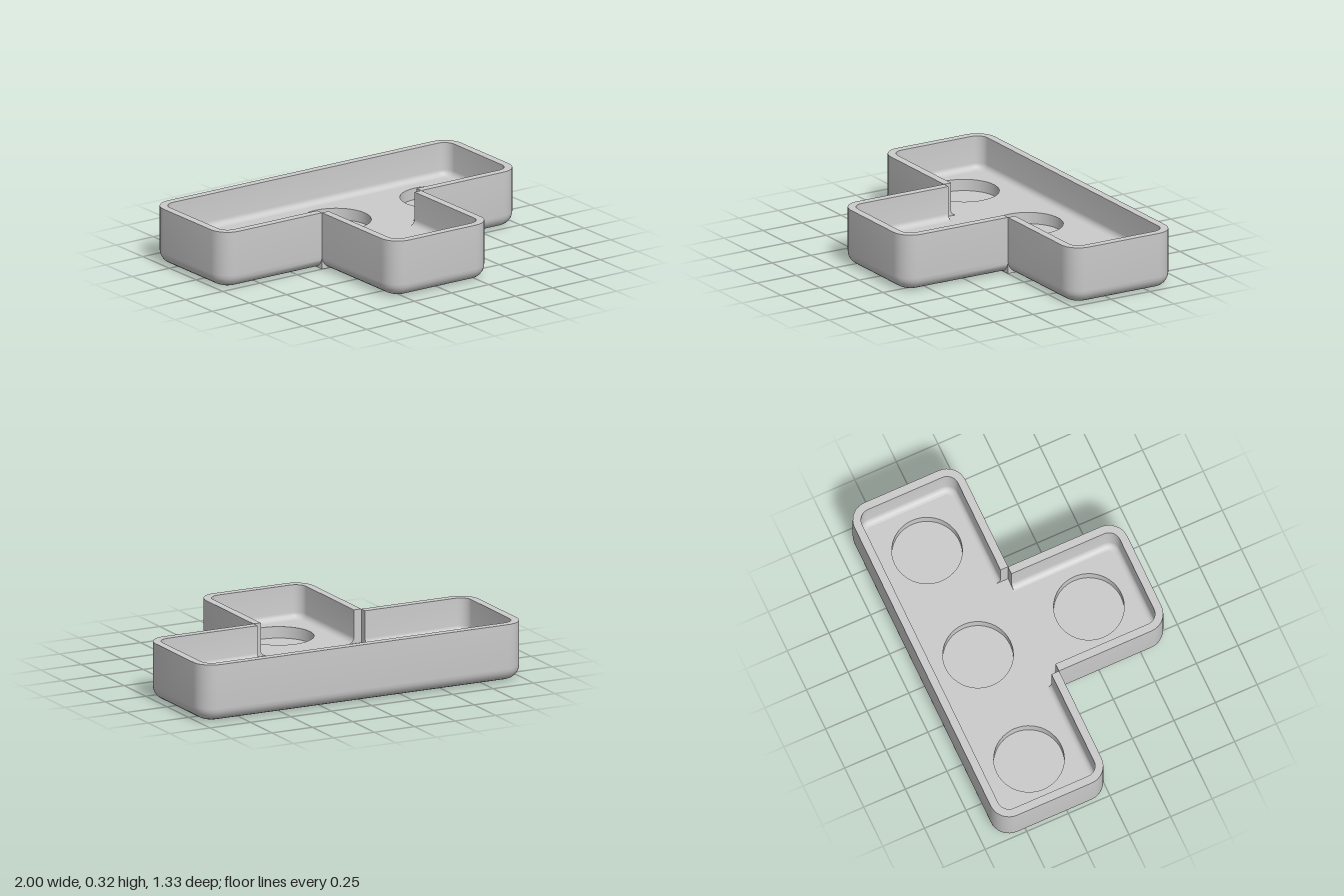
import * as THREE from 'three';
import { toCreasedNormals } from 'three/addons/utils/BufferGeometryUtils.js';

const CELL = 2 / 3, HALF = CELL / 2, HEIGHT = 0.325, WALL = 0.045;
const CORNER = 0.11, OUTER_FILLET = 0.075, INNER_FILLET = 0.035;
const FLOOR = 0.135, POCKET_FLOOR = 0.07, POCKET_R = 0.193;

// T-shaped outline as [x, z] points, moved inwards by d; inside corners keep a square notch
function outline(d) {
  const half = [];
  const arc = (cx, cz, start) => {
    for (let i = 0; i <= 8; i++) {
      const a = start + (i / 8) * Math.PI / 2;
      half.push([cx + (CORNER - d) * Math.cos(a), cz + (CORNER - d) * Math.sin(a)]);
    }
  };
  arc(1 - CORNER, -CELL + CORNER, -Math.PI / 2);
  arc(1 - CORNER, -CORNER, 0);
  half.push([HALF, -d], [HALF, 0], [HALF - d, 0]);
  arc(HALF - CORNER, CELL - CORNER, 0);
  return [...half, ...half.map(([x, z]) => [-x, z]).reverse()];
}

// Skin between outlines; profile holds [inset, height] pairs
function loft(profile) {
  const rings = profile.map(([d, y]) => outline(d).map(([x, z]) => new THREE.Vector3(x, y, z)));
  const positions = [];
  const addTriangle = (a, b, c) => {
    if (new THREE.Triangle(a, b, c).getArea() < 1e-9) return;
    for (const p of [a, b, c]) positions.push(p.x, p.y, p.z);
  };
  for (let i = 0; i < rings.length - 1; i++) {
    const low = rings[i], high = rings[i + 1];
    for (let j = 0; j < low.length; j++) {
      const k = (j + 1) % low.length;
      addTriangle(low[j], high[j], low[k]);
      addTriangle(low[k], high[j], high[k]);
    }
  }
  const geometry = new THREE.BufferGeometry();
  geometry.setAttribute('position', new THREE.Float32BufferAttribute(positions, 3));
  return toCreasedNormals(geometry, 0.6);
}

// Quarter-round from the flat face (t = 0) to the upright wall (t = 1)
function fillet(inset, base, r) {
  return Array.from({ length: 7 }, (_, i) => {
    const a = (i / 6) * Math.PI / 2;
    return [inset + r * (1 - Math.sin(a)), base + r * (1 - Math.cos(a))];
  });
}

export function createModel() {
  const tray = new THREE.Group();
  tray.name = 'tray';
  const material = new THREE.MeshStandardMaterial({ color: 0xcccccc, side: THREE.DoubleSide });
  const add = (name, geometry) => {
    const mesh = new THREE.Mesh(geometry, material);
    mesh.name = name;
    tray.add(mesh);
    return mesh;
  };

  // Walls
  add('outerWall', loft([...fillet(0, 0, OUTER_FILLET), [0, HEIGHT]]));
  add('rim', loft([[0, HEIGHT], [WALL, HEIGHT]]));
  add('innerWall', loft([[WALL, HEIGHT], ...fillet(WALL, FLOOR, INNER_FILLET).reverse()]));

  // Underside
  const underside = new THREE.Shape(outline(OUTER_FILLET).map(([x, z]) => new THREE.Vector2(x, z)));
  add('underside', new THREE.ShapeGeometry(underside).rotateX(Math.PI / 2));

  // Floor with four round openings
  const centres = [[-CELL, -HALF], [0, -HALF], [CELL, -HALF], [0, HALF]];
  const floor = new THREE.Shape(
    outline(WALL + INNER_FILLET).map(([x, z]) => new THREE.Vector2(x, -z)));
  for (const [x, z] of centres) {
    floor.holes.push(new THREE.Path().absarc(x, -z, POCKET_R, 0, Math.PI * 2, true));
  }
  add('floor', new THREE.ShapeGeometry(floor, 24).rotateX(-Math.PI / 2).translate(0, FLOOR, 0));

  // Shallow round pockets
  const depth = FLOOR - POCKET_FLOOR;
  for (const [x, z] of centres) {
    add('pocketWall', new THREE.CylinderGeometry(POCKET_R, POCKET_R, depth, 48, 1, true))
      .position.set(x, POCKET_FLOOR + depth / 2, z);
    add('pocketFloor', new THREE.CircleGeometry(POCKET_R, 48).rotateX(-Math.PI / 2))
      .position.set(x, POCKET_FLOOR, z);
  }
  return tray;
}
